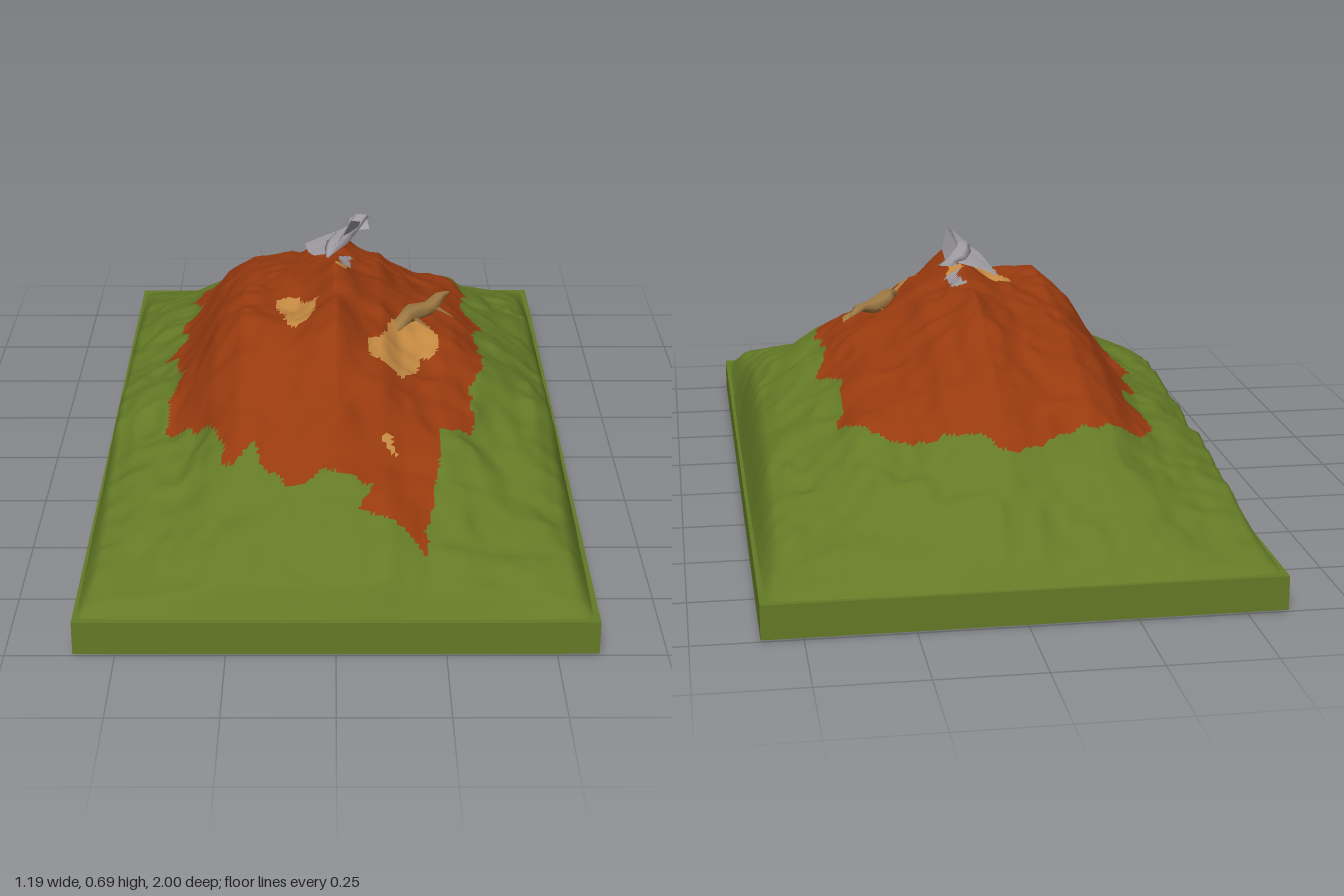
import * as THREE from 'three';

const mat = (name, color, side = THREE.FrontSide) => {
  const m = new THREE.MeshStandardMaterial({ color, side });
  m.name = name;
  return m;
};
const V = (list) => list.map(([x, y]) => new THREE.Vector2(x, y));

// Height profiles: [position, height]
const ACROSS = [[-0.6, 0.07], [-0.59, 0.08], [-0.565, 0.2], [-0.55, 0.245], [-0.5, 0.275], [-0.4, 0.325], [-0.35, 0.38],
  [-0.3, 0.46], [-0.23, 0.525], [-0.1, 0.54], [0, 0.605], [0.06, 0.565], [0.12, 0.54], [0.16, 0.5], [0.2, 0.475],
  [0.3, 0.43], [0.35, 0.385], [0.4, 0.35], [0.5, 0.29], [0.545, 0.25], [0.565, 0.18], [0.585, 0.08], [0.6, 0.07]];
const ALONG = [[-1, 0.075], [-0.95, 0.13], [-0.9, 0.17], [-0.8, 0.24], [-0.7, 0.31], [-0.6, 0.37], [-0.5, 0.43],
  [-0.4, 0.48], [-0.3, 0.525], [-0.2, 0.555], [-0.1, 0.575], [0, 0.59], [0.1, 0.6], [0.2, 0.605], [0.3, 0.585],
  [0.4, 0.545], [0.5, 0.475], [0.6, 0.4], [0.65, 0.345], [0.75, 0.285], [0.85, 0.235], [0.95, 0.16], [0.99, 0.08], [1, 0.075]];
// Hollows in the slopes: x, z, radius, depth
const HOLLOWS = [[-0.1, 0.2, 0.09, 0.035], [0.18, 0.3, 0.13, 0.05], [-0.34, 0.46, 0.13, 0.03], [0.32, 0.46, 0.12, 0.025]];

// Coloured areas of the ground, as x,z outlines
const ROCK = [[0, -0.7], [0.06, -0.62], [0.2, -0.6], [0.3, -0.52], [0.37, -0.42], [0.33, -0.2], [0.4, -0.08],
  [0.36, 0.05], [0.38, 0.2], [0.33, 0.35], [0.33, 0.48], [0.25, 0.52], [0.24, 0.65], [0.22, 0.75], [0.2, 0.87],
  [0.13, 0.8], [0.05, 0.78], [0.08, 0.72], [-0.03, 0.7], [-0.1, 0.73], [-0.2, 0.62], [-0.25, 0.65], [-0.3, 0.5],
  [-0.42, 0.4], [-0.42, 0.3], [-0.38, 0.2], [-0.42, 0.05], [-0.45, 0], [-0.4, -0.12], [-0.42, -0.2], [-0.36, -0.3],
  [-0.4, -0.42], [-0.38, -0.52], [-0.25, -0.58], [-0.15, -0.62]];
const SAND = [
  [[-0.15, 0.14], [-0.1, 0.13], [-0.04, 0.2], [-0.07, 0.3], [-0.12, 0.3]],
  [[0.14, 0.24], [0.19, 0.12], [0.27, 0.2], [0.26, 0.25], [0.21, 0.28], [0.17, 0.4], [0.09, 0.4], [0.08, 0.36]],
  [[0.11, 0.59], [0.14, 0.59], [0.15, 0.63], [0.13, 0.63]],
  [[0, 0.04], [0.03, 0.04], [0.02, 0.11], [0, 0.11]],
];
const GREY = [[[0.005, -0.07], [0.04, -0.06], [0.04, 0.04], [0.01, 0.04]]];

function profile(points, t) {
  let i = 1;
  while (i < points.length - 1 && points[i][0] < t) i++;
  const [a, b] = [points[i - 1], points[i]];
  return THREE.MathUtils.mapLinear(t, a[0], b[0], a[1], b[1]);
}

function inside(poly, x, z) {
  let hit = false;
  for (let i = 0, j = poly.length - 1; i < poly.length; j = i++) {
    const [xi, zi] = poly[i], [xj, zj] = poly[j];
    if ((zi > z) !== (zj > z) && x < (xj - xi) * (z - zi) / (zj - zi) + xi) hit = !hit;
  }
  return hit;
}

// Seeded value noise in -1..1
const hash = (i, j) => {
  const s = Math.sin(i * 127.1 + j * 311.7) * 43758.5453;
  return (s - Math.floor(s)) * 2 - 1;
};
function noise(x, z) {
  const i = Math.floor(x), j = Math.floor(z);
  const f = (t) => t * t * (3 - 2 * t);
  const u = f(x - i), v = f(z - j), mix = THREE.MathUtils.lerp;
  return mix(mix(hash(i, j), hash(i + 1, j), u), mix(hash(i, j + 1), hash(i + 1, j + 1), u), v);
}

function height(x, z) {
  const a = profile(ACROSS, x) - 0.08, b = profile(ALONG, z) - 0.08;
  if (a <= 0 || b <= 0) return 0.075;
  let h = 0.9 * (a * b / 0.525) + 0.1 * Math.min(a, b);
  for (const [cx, cz, r, depth] of HOLLOWS) h -= depth * Math.exp(-((x - cx) ** 2 + (z - cz) ** 2) / (r * r));
  const crease = 0.4 - Math.abs(noise(x * 13 + 3, z * 12));
  const rough = 0.012 * noise(x * 9, z * 8) + 0.013 * crease + 0.006 * noise(x * 24 + 5, z * 22);
  return 0.08 + h + (rough - 0.002) * THREE.MathUtils.clamp(h / 0.1, 0, 1);
}

// Mound: a height field whose faces are sorted by colour
function mound(mats) {
  const geo = new THREE.PlaneGeometry(1.18, 1.99, 118, 190);
  geo.rotateX(-Math.PI / 2);
  const p = geo.attributes.position;
  for (let i = 0; i < p.count; i++) p.setY(i, height(p.getX(i), p.getZ(i)));
  const faces = [[], [], [], []], idx = geo.index.array;
  for (let k = 0; k < idx.length; k += 3) {
    const tri = [idx[k], idx[k + 1], idx[k + 2]];
    const x = tri.reduce((s, n) => s + p.getX(n), 0) / 3;
    const z = tri.reduce((s, n) => s + p.getZ(n), 0) / 3;
    const wx = x + 0.012 * noise(x * 30, z * 30), wz = z + 0.012 * noise(x * 30 + 9, z * 30);
    const on = (list) => list.some((poly) => inside(poly, wx, wz));
    faces[on(GREY) ? 3 : on(SAND) ? 2 : inside(ROCK, wx, wz) ? 1 : 0].push(...tri);
  }
  geo.setIndex(faces.flat());
  let start = 0;
  faces.forEach((f, i) => { geo.addGroup(start, f.length, i); start += f.length; });
  geo.computeVertexNormals();
  return new THREE.Mesh(geo, mats);
}

// Thin sheet: a fan of triangles around the first point
function sheet(points, material) {
  const geo = new THREE.BufferGeometry();
  geo.setAttribute('position', new THREE.Float32BufferAttribute(points.flat(), 3));
  const idx = [];
  for (let i = 1; i < points.length - 1; i++) idx.push(0, i, i + 1);
  geo.setIndex(idx);
  const flat = geo.toNonIndexed();
  flat.computeVertexNormals();
  return new THREE.Mesh(flat, material);
}

// Tapered body: rings [x, y, z, half width, half height] along a path
function loft(rings, material, sides = 6) {
  const pos = [], idx = [];
  const [a, b] = [rings[0], rings[rings.length - 1]];
  const side = new THREE.Vector3(-(b[2] - a[2]), 0, b[0] - a[0]).normalize();
  rings.forEach(([x, y, z, w, h], r) => {
    for (let s = 0; s < sides; s++) {
      const t = s / sides * Math.PI * 2, c = Math.cos(t) * w;
      pos.push(x + side.x * c, y + Math.sin(t) * h, z + side.z * c);
      const n = (s + 1) % sides, k = r * sides;
      if (r) idx.push(k - sides + s, k + s, k + n, k - sides + s, k + n, k - sides + n);
    }
  });
  const geo = new THREE.BufferGeometry();
  geo.setAttribute('position', new THREE.Float32BufferAttribute(pos, 3));
  geo.setIndex(idx);
  geo.computeVertexNormals();
  return new THREE.Mesh(geo, material);
}

export function createModel() {
  const group = new THREE.Group();
  const grass = mat('grass green', 0x647a26);
  const rock = mat('rust rock', 0x983a0f);
  const sand = mat('sand', 0xc58a42);
  const stone = mat('stone grey', 0x98949a);
  const hide = mat('lizard tan', 0xa07a44, THREE.DoubleSide);
  const feather = mat('feather grey', 0xa5a1a8, THREE.DoubleSide);
  const add = (name, mesh, parent = group) => { mesh.name = name; parent.add(mesh); return mesh; };

  // Ground slab and mound
  add('slab', new THREE.Mesh(new THREE.BoxGeometry(1.19, 0.081, 2), grass)).position.y = 0.0445;
  add('mound', mound([grass, rock, sand, stone]));

  // Painted patches on the underside
  const under = (name, pts, y, material) => {
    const geo = new THREE.ShapeGeometry(new THREE.Shape(V(pts)));
    geo.rotateX(Math.PI / 2);
    add(name, new THREE.Mesh(geo, material)).position.y = y;
  };
  under('undersideRock', [[0.28, 0.55], [0.25, 0.4], [0.185, 0.12], [0.12, -0.02], [0.03, -0.137], [-0.06, -0.1],
    [-0.156, -0.03], [-0.3, 0.1], [-0.3, 0.4], [-0.26, 0.436], [-0.1, 0.45], [0.146, 0.468], [0.23, 0.53]], 0.002, rock);
  under('undersideSandLeft', [[0.275, 0.52], [0.307, 0.325], [0.25, 0.2], [0.185, 0.11], [0.16, 0.2],
    [0.14, 0.354], [0.19, 0.45]], 0, sand);
  under('undersideSandRight', [[-0.156, -0.03], [-0.2, 0.02], [-0.26, 0], [-0.34, -0.06], [-0.454, -0.08], [-0.43, 0.08],
    [-0.36, 0.16], [-0.38, 0.25], [-0.367, 0.394], [-0.26, 0.43], [-0.2, 0.36], [-0.139, 0.2], [-0.17, 0.1]], 0, sand);

  // Lizard lying on the left slope
  const lizard = add('lizard', new THREE.Group());
  add('lizardBody', loft([[0.14, 0.455, 0.23, 0.004, 0.004], [0.16, 0.475, 0.2, 0.02, 0.014],
    [0.18, 0.482, 0.165, 0.02, 0.018], [0.2, 0.475, 0.12, 0.034, 0.02], [0.24, 0.47, 0.08, 0.024, 0.016],
    [0.27, 0.483, 0.03, 0.018, 0.008], [0.295, 0.475, -0.015, 0.006, 0.004]], hide), lizard);
  for (const [x, z, dx, dz] of [[0.18, 0.16, -0.04, -0.01], [0.2, 0.16, 0.05, 0.01],
    [0.22, 0.1, -0.04, -0.03], [0.25, 0.08, 0.06, 0]]) {
    add('lizardLeg', sheet([[x, 0.478, z - 0.018], [x, 0.478, z + 0.018], [x + dx, 0.445, z + dz + 0.01],
      [x + dx, 0.435, z + dz - 0.01]], hide), lizard);
  }

  // Bird gliding over the summit
  const bird = add('bird', new THREE.Group());
  add('birdBody', loft([[-0.02, 0.63, 0.13, 0.004, 0.003], [-0.01, 0.632, 0.08, 0.018, 0.01],
    [0.005, 0.628, 0.02, 0.028, 0.014], [0.025, 0.625, -0.05, 0.026, 0.011], [0.05, 0.628, -0.1, 0.018, 0.006],
    [0.07, 0.635, -0.165, 0.02, 0.003]], feather), bird);
  add('birdLeftWing', sheet([[0.0, 0.62, 0.02], [-0.02, 0.635, 0.1], [0.015, 0.668, 0.11], [0.04, 0.69, 0.03],
    [0.065, 0.655, -0.06], [0.06, 0.625, -0.1]], feather), bird);
  add('birdRightWing', sheet([[0.0, 0.63, 0.02], [0.03, 0.625, -0.1], [-0.03, 0.605, -0.09], [-0.08, 0.583, -0.09],
    [-0.07, 0.593, 0], [-0.055, 0.61, 0.07], [-0.015, 0.635, 0.12]], feather), bird);
  add('birdTail', sheet([[0.03, 0.622, -0.08], [0.04, 0.63, -0.16], [0.08, 0.637, -0.17], [0.09, 0.62, -0.1]], feather), bird);
  return group;
}
